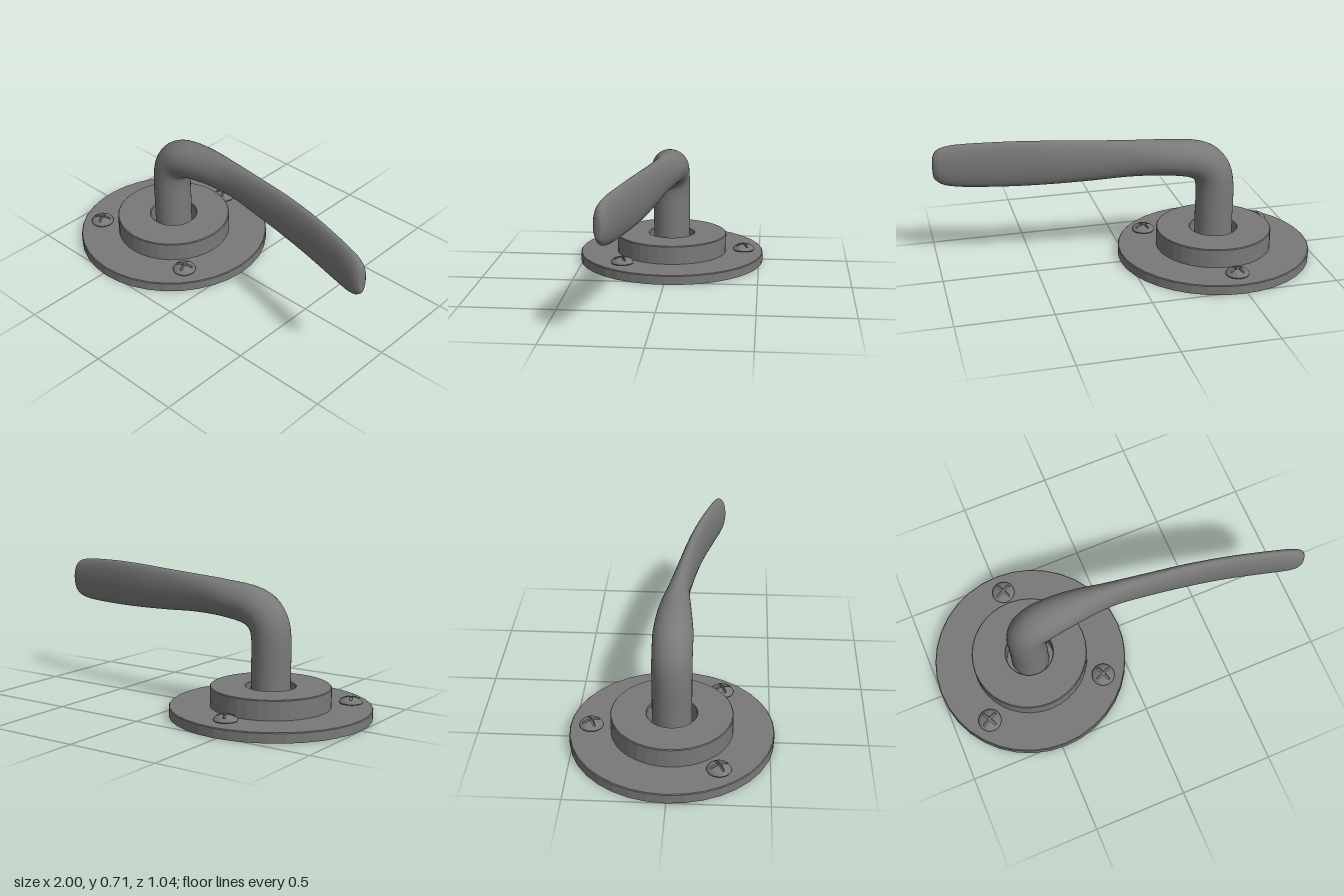
import * as THREE from 'three';
import { toCreasedNormals } from 'three/addons/utils/BufferGeometryUtils.js';

const AXIS_X = -0.479;
const metal = new THREE.MeshStandardMaterial({ color: 0x797979 });
const faceted = new THREE.MeshStandardMaterial({ color: 0x797979, flatShading: true });

function part(name, geometry, material = metal) {
  const mesh = new THREE.Mesh(geometry, material);
  mesh.name = name;
  return mesh;
}

const lathe = (points, sides) =>
  new THREE.LatheGeometry(points.map(([r, y]) => new THREE.Vector2(r, y)), sides);

// Lever: elliptical rings swept along a bent path; each station is x, y, z, half height, half width
function leverGeometry() {
  const stations = [
    [-0.479, 0.05, 0, 0.102, 0.102],
    [-0.479, 0.22, 0, 0.102, 0.102],
    [-0.479, 0.4, 0, 0.102, 0.102],
    [-0.463, 0.475, 0, 0.103, 0.102],
    [-0.423, 0.527, 0, 0.104, 0.102],
    [-0.36, 0.558, 0, 0.101, 0.101],
    [-0.2, 0.581, 0, 0.097, 0.085],
    [0, 0.589, 0.013, 0.101, 0.055],
    [0.2, 0.586, 0.038, 0.111, 0.046],
    [0.4, 0.584, 0.068, 0.12, 0.042],
    [0.6, 0.58, 0.107, 0.124, 0.038],
    [0.8, 0.573, 0.156, 0.121, 0.038],
    [0.88, 0.57, 0.177, 0.116, 0.039],
    [0.93, 0.567, 0.19, 0.108, 0.039],
    [0.965, 0.565, 0.199, 0.095, 0.036],
    [0.988, 0.564, 0.204, 0.074, 0.026],
    [0.997, 0.564, 0.206, 0.05, 0.015],
    [1, 0.564, 0.207, 0, 0],
  ];
  const path = new THREE.CatmullRomCurve3(stations.map((s) => new THREE.Vector3(s[0], s[1], s[2])));
  const size = new THREE.SplineCurve(stations.map((s) => new THREE.Vector2(s[3], s[4])));
  const rings = (stations.length - 1) * 5, sides = 40;
  const positions = [], index = [];
  for (let i = 0; i <= rings; i++) {
    const t = i / rings;
    const centre = path.getPoint(t), tangent = path.getTangent(t), s = size.getPoint(t);
    const across = new THREE.Vector3(0, 0, 1).addScaledVector(tangent, -tangent.z).normalize();
    const up = new THREE.Vector3().crossVectors(across, tangent);
    for (let j = 0; j < sides; j++) {
      const a = (j / sides) * Math.PI * 2;
      const p = centre.clone()
        .addScaledVector(up, Math.cos(a) * Math.max(s.x, 0))
        .addScaledVector(across, Math.sin(a) * Math.max(s.y, 0));
      positions.push(p.x, p.y, p.z);
      if (i < rings) {
        const k = (j + 1) % sides, b = i * sides, c = b + sides;
        index.push(b + j, b + k, c + j, b + k, c + k, c + j);
      }
    }
  }
  const geometry = new THREE.BufferGeometry();
  geometry.setAttribute('position', new THREE.Float32BufferAttribute(positions, 3));
  geometry.setIndex(index);
  geometry.computeVertexNormals();
  return geometry;
}

// Domed screw top: a square grid wrapped onto a disc, pressed down along a cross
function screwTopGeometry(radius) {
  const half = [0.09, 0.12, 0.3, 0.45, 0.6, 0.72, 0.76, 0.88, 1];
  const stops = [...half.map((v) => -v).reverse(), 0, ...half];
  const n = stops.length - 1;
  const geometry = new THREE.PlaneGeometry(2, 2, n, n);
  const pos = geometry.attributes.position;
  for (let i = 0; i < pos.count; i++) {
    const u = stops[i % (n + 1)], v = stops[Math.floor(i / (n + 1))];
    const x = u * Math.sqrt(1 - v * v / 2), z = v * Math.sqrt(1 - u * u / 2);
    const r2 = Math.min(1, x * x + z * z);
    const low = Math.min(Math.abs(u), Math.abs(v)), far = Math.max(Math.abs(u), Math.abs(v));
    const slot = low < 0.1 && far < 0.73;
    const y = slot ? 0.08 : 0.066 + 0.031 * Math.pow(1 - r2, 0.6);
    pos.setXYZ(i, x * radius, y, z * radius);
  }
  return toCreasedNormals(geometry, 0.6);
}

function makeScrew(x, z, turn) {
  const screw = new THREE.Group();
  screw.name = 'screw';
  const rim = new THREE.CylinderGeometry(0.062, 0.06, 0.005, 40).translate(0, 0.0635, 0);
  const shank = new THREE.CylinderGeometry(0.024, 0.024, 0.03, 20).translate(0, 0.047, 0);
  screw.add(part('screwTop', screwTopGeometry(0.062)), part('screwRim', rim), part('screwShank', shank));
  screw.position.set(x, 0, z);
  screw.rotation.y = turn;
  return screw;
}

export function createModel() {
  const model = new THREE.Group();
  model.name = 'leverHandle';

  // Mounting plate and raised collar, both with a fine chamfer
  const plate = part('mountingPlate', lathe(
    [[0, 0], [0.522, 0], [0.522, 0.048], [0.518, 0.052], [0, 0.052]], 36), faceted);
  const collar = part('collar', lathe(
    [[0.312, 0.05], [0.312, 0.151], [0.308, 0.155], [0.132, 0.155], [0.128, 0.151], [0.128, 0.05]], 36), faceted);
  for (const mesh of [plate, collar]) mesh.position.x = AXIS_X;
  model.add(plate, collar, part('lever', leverGeometry()));

  // Three fixing screws around the collar
  for (const [dx, z, turn] of [[0, -0.412, 0.45], [-0.33, 0.247, 0.5], [0.33, 0.247, 0.4]]) {
    model.add(makeScrew(AXIS_X + dx, z, turn));
  }
  return model;
}
